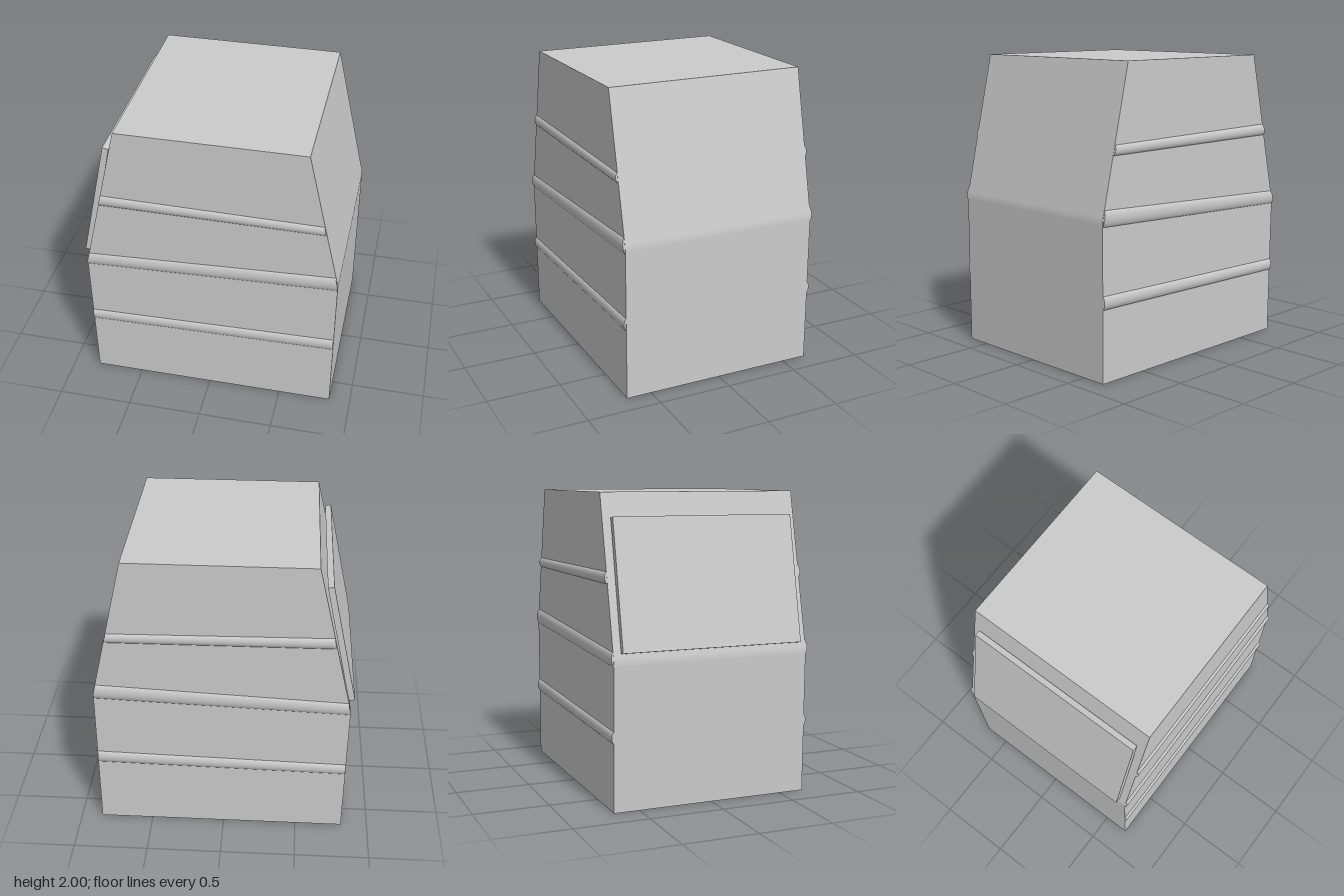
import * as THREE from 'three';

const HALF_DEPTH = 0.672;
const material = new THREE.MeshStandardMaterial({ color: 0xcccccc });

// x of the body's two side edges at height y
const rightEdge = (y) => (y < 0.96 ? -0.82 - 0.015 * (y / 0.96) : -0.835 + 0.24 * ((y - 0.96) / 1.04));
const leftEdge = (y) => (y < 1.035 ? 0.857 : 0.857 - 0.222 * ((y - 1.035) / 0.965));

function part(name, geometry) {
  const mesh = new THREE.Mesh(geometry, material);
  mesh.name = name;
  return mesh;
}

// Tapered block: front outline extruded through the depth, shoulders slightly eased
function bodyGeometry() {
  const outline = new THREE.Shape();
  outline.moveTo(rightEdge(0), 0);
  outline.lineTo(leftEdge(0), 0);
  outline.lineTo(0.857, 1.01);
  outline.quadraticCurveTo(0.857, 1.035, leftEdge(1.06), 1.06);
  outline.lineTo(leftEdge(2), 2);
  outline.lineTo(rightEdge(2), 2);
  outline.lineTo(rightEdge(0.985), 0.985);
  outline.quadraticCurveTo(-0.835, 0.96, rightEdge(0.935), 0.935);
  outline.closePath();
  const geometry = new THREE.ExtrudeGeometry(outline, {
    depth: 2 * HALF_DEPTH, bevelEnabled: false, curveSegments: 6,
  });
  return geometry.translate(0, 0, -HALF_DEPTH);
}

// Shallow rounded rib, sheared to its slope and cut to the body's side edges
function ribGeometry(yRight, yLeft, halfRight, halfLeft, side) {
  const geometry = new THREE.CylinderGeometry(1, 1, 1, 48, 1).rotateZ(-Math.PI / 2);
  const p = geometry.attributes.position;
  for (let i = 0; i < p.count; i++) {
    const t = p.getX(i) + 0.5;
    const y = THREE.MathUtils.lerp(yRight, yLeft, t)
      + p.getY(i) * THREE.MathUtils.lerp(halfRight, halfLeft, t);
    const x = t < 0.5 ? rightEdge(y) + 0.002 : leftEdge(y) - 0.002;
    p.setXYZ(i, x, y, side * (HALF_DEPTH - 0.014) + p.getZ(i) * 0.028);
  }
  geometry.computeVertexNormals();
  return geometry;
}

export function createModel() {
  const model = new THREE.Group();
  model.name = 'taperedBlock';
  model.add(part('body', bodyGeometry()));

  // Three ribs on the front and three on the back
  const ribs = [
    ['lowerRib', 0.485, 0.52, 0.045, 0.05],
    ['middleRib', 0.98, 1.05, 0.052, 0.06],
    ['upperRib', 1.475, 1.462, 0.044, 0.038],
  ];
  for (const [name, ...size] of ribs) {
    model.add(part(name + 'Front', ribGeometry(...size, 1)));
    model.add(part(name + 'Back', ribGeometry(...size, -1)));
  }

  // Flat panel leaning on the sloping right side
  const panel = part('sidePanel', new THREE.BoxGeometry(0.041, 0.848, 1.24));
  panel.position.set(-0.753, 1.431, 0);
  panel.rotation.z = -0.208;
  model.add(panel);
  return model;
}
